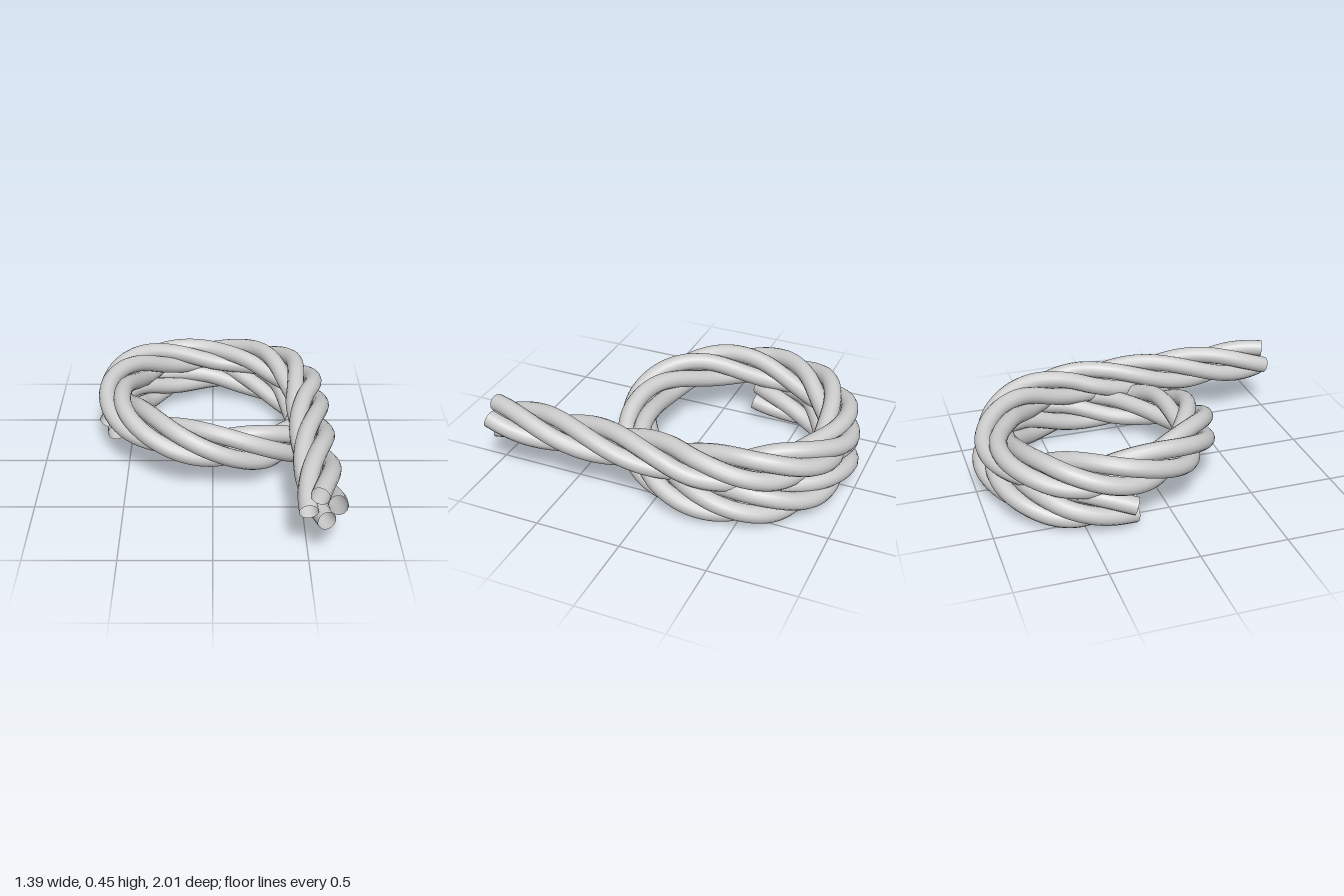
import * as THREE from 'three';

const STRANDS = 4;
const STRAND_RADIUS = 0.051;
const STRAND_OFFSET = 0.077;
const PITCH = 1.43; // rope length per full turn of the strands
const START_ANGLE = 0.27;

// Centre line of the rope: straight free end, then one and a half turns of coil
function ropePath() {
  const points = [0.993, 0.7, 0.4, 0.1, -0.1].map((z) => new THREE.Vector3(0.563, 0.318, z));
  // [angle around the coil, height, radius]
  const coil = [
    [0, 0.318, 0.563], [30, 0.318, 0.555], [60, 0.31, 0.56], [90, 0.288, 0.57], [120, 0.305, 0.575],
    [150, 0.318, 0.577], [180, 0.318, 0.577], [215, 0.318, 0.577], [245, 0.305, 0.58], [270, 0.275, 0.585],
    [300, 0.22, 0.582], [330, 0.15, 0.575], [360, 0.127, 0.572], [390, 0.127, 0.58], [420, 0.132, 0.585],
    [450, 0.158, 0.585], [480, 0.137, 0.58], [510, 0.127, 0.577], [547, 0.122, 0.577],
  ];
  for (const [deg, y, r] of coil) {
    const a = THREE.MathUtils.degToRad(deg);
    points.push(new THREE.Vector3(r * Math.cos(a), y, -0.29 - r * Math.sin(a)));
  }
  const path = new THREE.CatmullRomCurve3(points, false, 'centripetal');
  path.arcLengthDivisions = 800;
  return path;
}

// One strand winding around the centre line
function strandCurve(path, phase) {
  const length = path.getLength();
  const up = new THREE.Vector3(0, 1, 0);
  const count = 130;
  const points = [];
  for (let i = 0; i <= count; i++) {
    const u = i / count;
    const centre = path.getPointAt(u);
    const tangent = path.getTangentAt(u);
    const side = new THREE.Vector3().crossVectors(tangent, up).normalize();
    const lift = new THREE.Vector3().crossVectors(side, tangent);
    const angle = phase - (u * length / PITCH) * Math.PI * 2;
    // the layers press flatter at the back of the coil and at the tucked end
    const back = THREE.MathUtils.smoothstep(-centre.z, 0.62, 0.87);
    const tucked = THREE.MathUtils.smoothstep(u, 0.95, 1);
    const squash = 1 - 0.32 * back - 0.2 * tucked;
    points.push(centre
      .addScaledVector(side, STRAND_OFFSET * Math.cos(angle))
      .addScaledVector(lift, STRAND_OFFSET * squash * Math.sin(angle)));
  }
  return new THREE.CatmullRomCurve3(points);
}

export function createModel() {
  const model = new THREE.Group();
  model.name = 'coiledRope';
  // strands are open at their cut ends
  const material = new THREE.MeshStandardMaterial({ color: 0xcccccc, side: THREE.DoubleSide });
  const path = ropePath();
  for (let i = 0; i < STRANDS; i++) {
    const curve = strandCurve(path, START_ANGLE + (i / STRANDS) * Math.PI * 2);
    const strand = new THREE.Mesh(new THREE.TubeGeometry(curve, 260, STRAND_RADIUS, 14, false), material);
    strand.name = `strand${i + 1}`;
    model.add(strand);
  }
  return model;
}
